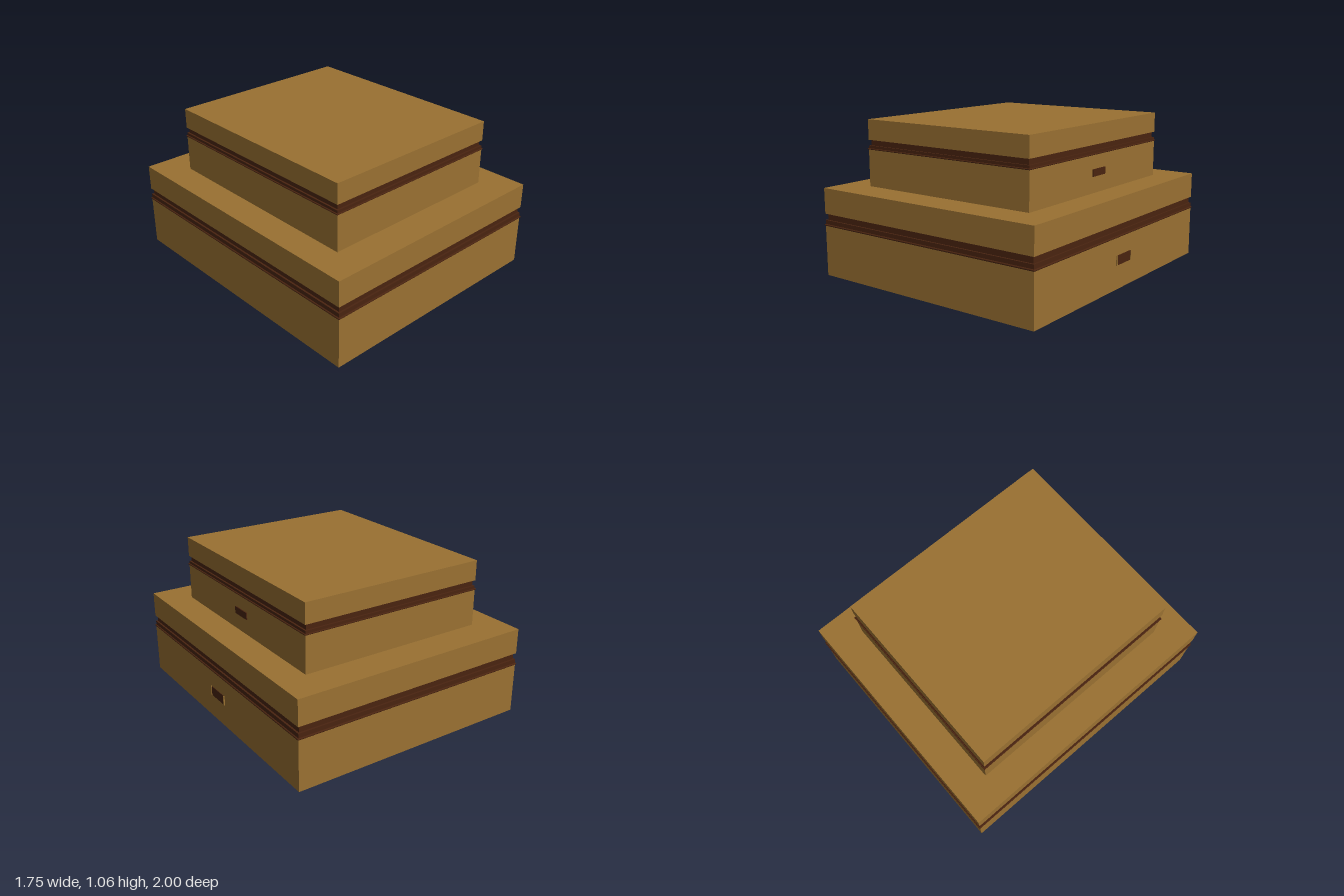
import * as THREE from 'three';
import { RoundedBoxGeometry } from 'three/addons/geometries/RoundedBoxGeometry.js';

const tan = new THREE.MeshStandardMaterial({ color: 0x9a7132 });
const dark = new THREE.MeshStandardMaterial({ color: 0x4a2410 });

// Box centred on x and z, spanning y0..y1, with half sizes hx and hz
function slab(name, hx, hz, y0, y1, material, rounded = false) {
  const size = [2 * hx, y1 - y0, 2 * hz];
  const geometry = rounded
    ? new RoundedBoxGeometry(...size, 3, (y1 - y0) / 2 - 0.0005)
    : new THREE.BoxGeometry(...size);
  const mesh = new THREE.Mesh(geometry, material);
  mesh.name = name;
  mesh.position.y = (y0 + y1) / 2;
  return mesh;
}

// One box: body, projecting rim, lip, recessed neck and lid
function makeBox(name, hx, hz, [base, rim, lip, neck, lid, top]) {
  const group = new THREE.Group();
  group.name = name;
  group.add(
    slab('body', hx, hz, base, rim, tan),
    slab('rim', hx + 0.007, hz + 0.007, rim, lip, dark, true),
    slab('lip', hx - 0.001, hz - 0.001, lip - 0.002, neck, dark),
    slab('neck', hx - 0.013, hz - 0.013, neck, lid, dark),
    slab('lid', hx, hz, lid, top, tan),
  );
  return group;
}

// Pull on the +x face
function makePull(name, face, y0, y1, halfWidth, depth, endWidth) {
  const group = new THREE.Group();
  group.name = name;
  const grip = slab('grip', depth, halfWidth - endWidth, y0, y1, dark);
  grip.position.x = face - depth * (endWidth ? 0.5 : 0);
  group.add(grip);
  // Raised end blocks
  if (endWidth) {
    for (const side of [-1, 1]) {
      const end = slab('gripEnd', depth, endWidth / 2, y0, y1, tan);
      end.position.set(face, (y0 + y1) / 2, side * (halfWidth - endWidth / 2));
      group.add(end);
    }
  }
  return group;
}

export function createModel() {
  const model = new THREE.Group();
  model.name = 'stackedBoxes';

  model.add(makeBox('lowerBox', 0.865, 0.993, [0, 0.347, 0.359, 0.387, 0.43, 0.606]));
  model.add(makeBox('upperBox', 0.664, 0.764, [0.606, 0.857, 0.866, 0.884, 0.922, 1.06]));

  model.add(makePull('lowerPull', 0.865, 0.162, 0.227, 0.093, 0.008, 0.01));
  model.add(makePull('upperPull', 0.664, 0.716, 0.764, 0.074, 0.007, 0));

  return model;
}
